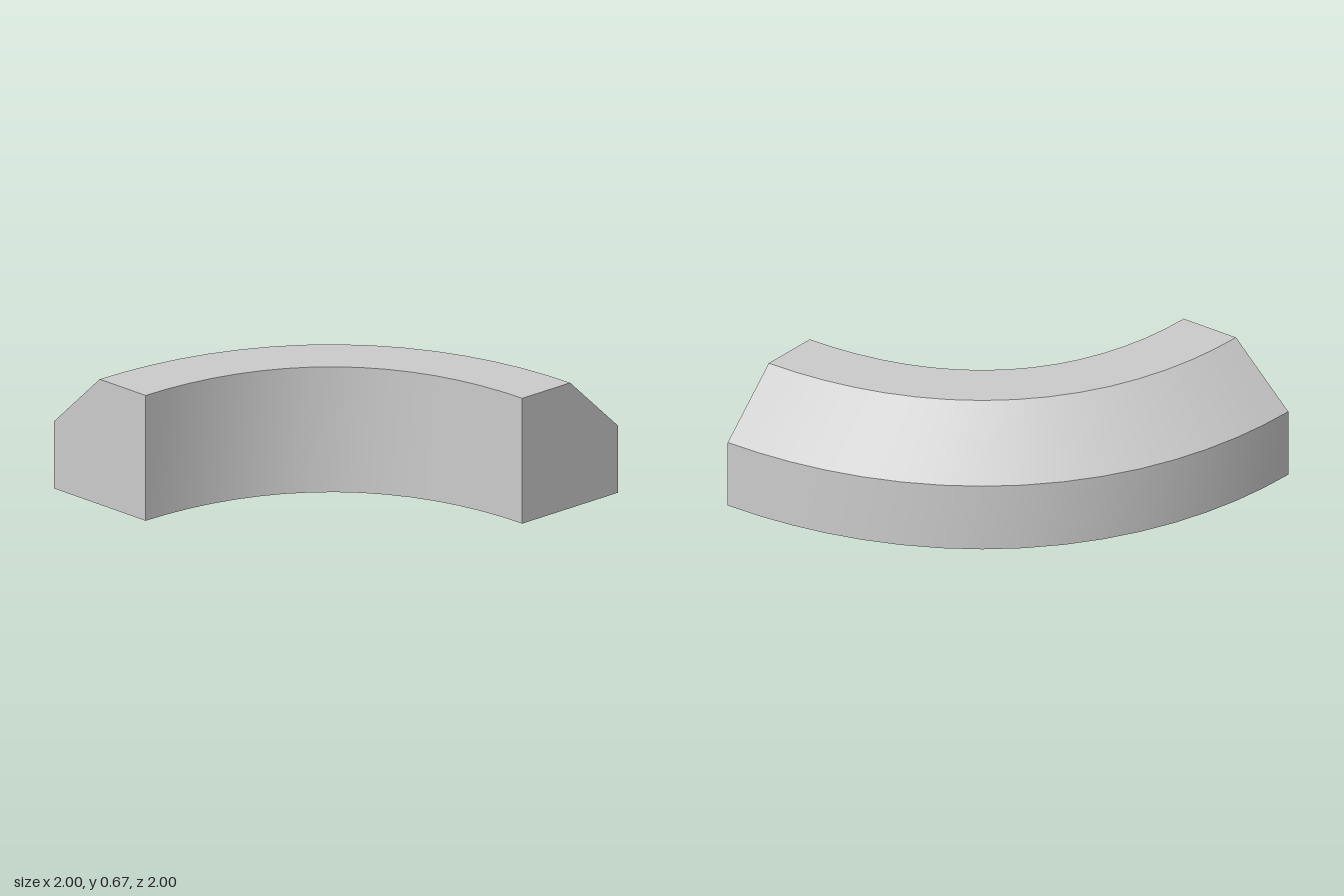
import * as THREE from 'three';
import { mergeGeometries } from 'three/addons/utils/BufferGeometryUtils.js';

const SEGMENTS = 16;

// Cross-section as [offset outward from the centre line, height]
const PROFILE = [
  [-0.333, 0], [0.333, 0], [0.333, 0.355], [0, 0.667], [-0.333, 0.667],
];

// Centre line of the bend, from the front end to the side end
const R = 1.667, K = R * 0.615;
const PATH = new THREE.CubicBezierCurve(
  new THREE.Vector2(1 - R, 1),
  new THREE.Vector2(1 - R, 1 - K),
  new THREE.Vector2(1 - K, 1 - R),
  new THREE.Vector2(1, 1 - R),
);

// Point of the section placed square to the path
function place(t, [offset, y]) {
  const p = PATH.getPointAt(t), d = PATH.getTangentAt(t);
  return [p.x + d.y * offset, y, p.y - d.x * offset];
}

function build(positions, index) {
  const g = new THREE.BufferGeometry();
  g.setAttribute('position', new THREE.Float32BufferAttribute(positions.flat(), 3));
  g.setIndex(index);
  g.computeVertexNormals();
  return g;
}

// One smooth face along the bend; separate strips keep the long edges sharp
function strip(a, b) {
  const positions = [], index = [];
  for (let i = 0; i <= SEGMENTS; i++) {
    positions.push(place(i / SEGMENTS, a), place(i / SEGMENTS, b));
    if (i < SEGMENTS) {
      const k = i * 2;
      index.push(k, k + 1, k + 2, k + 1, k + 3, k + 2);
    }
  }
  return build(positions, index);
}

// Flat end of the bend
function cap(t, flip) {
  const index = [];
  for (let i = 1; i < PROFILE.length - 1; i++) {
    index.push(0, ...(flip ? [i + 1, i] : [i, i + 1]));
  }
  return build(PROFILE.map((p) => place(t, p)), index);
}

export function createModel() {
  const group = new THREE.Group();
  group.name = 'curvedCorner';

  const faces = PROFILE.map((p, i) => strip(p, PROFILE[(i + 1) % PROFILE.length]));
  // The front end needs the reversed corner order to face outward
  faces.push(cap(0, true), cap(1, false));

  const material = new THREE.MeshStandardMaterial({ color: 0xcccccc });
  const body = new THREE.Mesh(mergeGeometries(faces), material);
  body.name = 'chamferedBend';
  group.add(body);
  return group;
}
